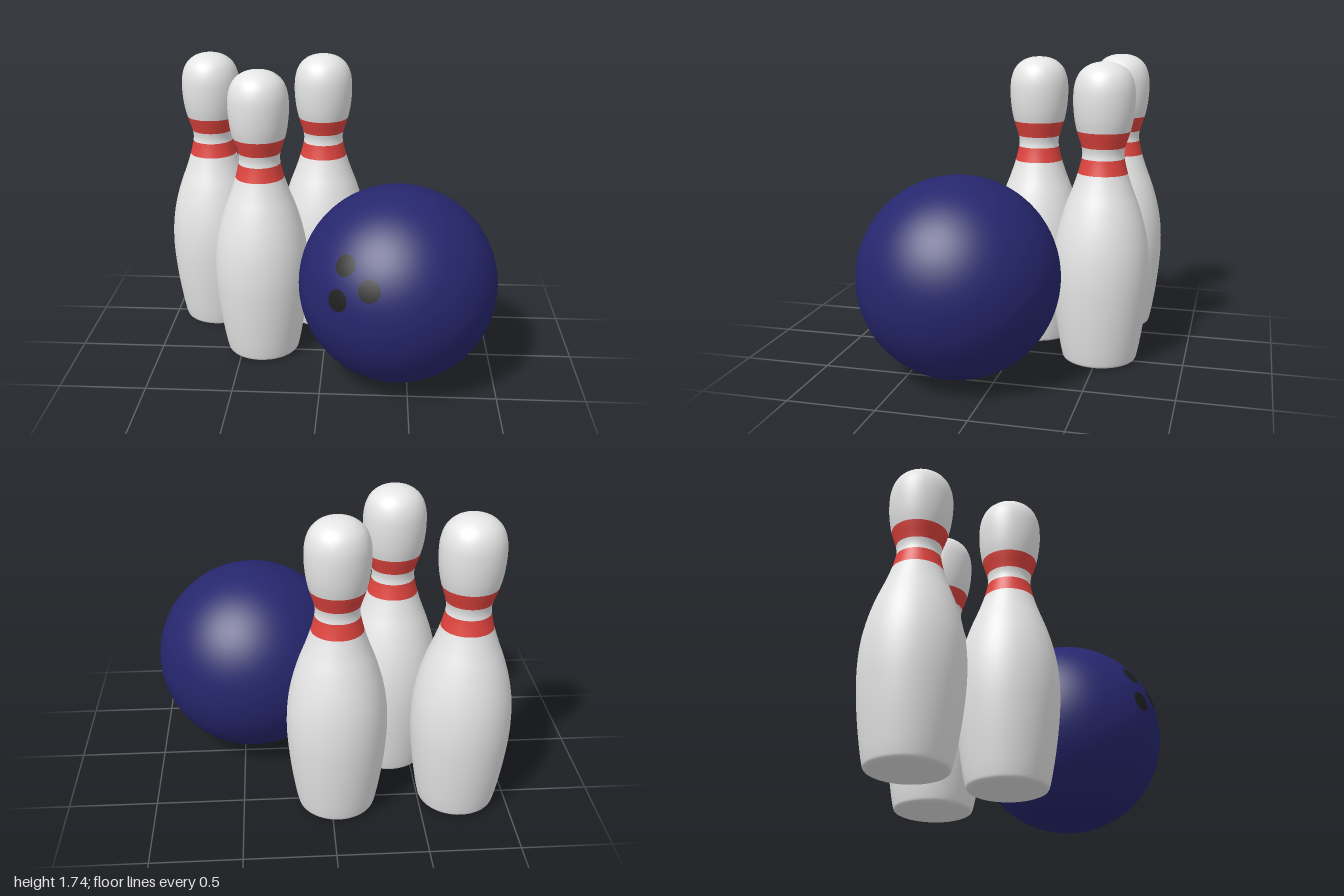
import * as THREE from 'three';

const mat = (name, color) => {
  const m = new THREE.MeshStandardMaterial({ color });
  m.name = name;
  return m;
};

// Pin outline [radius, height] from the foot to the crown
const OUTLINE = [
  [0.195, 0], [0.212, 0.009], [0.221, 0.035], [0.25, 0.2], [0.27, 0.37], [0.278, 0.52],
  [0.27, 0.67], [0.246, 0.8], [0.21, 0.92], [0.172, 1.02], [0.142, 1.11],
  [0.122, 1.195], [0.119, 1.225], [0.124, 1.26], [0.152, 1.35], [0.168, 1.43],
  [0.175, 1.53], [0.168, 1.61], [0.143, 1.672], [0.1, 1.712], [0.05, 1.731], [0, 1.736],
];

// Sections between outline points: name, first index, last index, colour
const SECTIONS = [
  ['pinBody', 0, 10, 'white'],
  ['lowerStripe', 10, 11, 'red'],
  ['pinNeck', 11, 13, 'white'],
  ['upperStripe', 13, 14, 'red'],
  ['pinHead', 14, 21, 'white'],
];

export function createModel() {
  const materials = {
    white: mat('pinWhite', 0xe6e6e6),
    red: mat('stripeRed', 0xe0443e),
    blue: mat('ballBlue', 0x26266e),
    black: mat('holeBlack', 0x1e1e1e),
  };
  const model = new THREE.Group();
  model.name = 'bowlingSet';

  // Pin sections are lathed from one smooth curve
  const curve = new THREE.CatmullRomCurve3(OUTLINE.map(([r, y]) => new THREE.Vector3(r, y, 0)));
  const last = OUTLINE.length - 1;
  const STEPS = 5;
  const parts = SECTIONS.map(([name, a, b, color]) => {
    const points = [];
    for (let i = 0; i <= (b - a) * STEPS; i++) {
      const p = curve.getPoint(Math.min(1, (a + i / STEPS) / last));
      points.push(new THREE.Vector2(Math.max(0, p.x), p.y));
    }
    return { name, color, geometry: new THREE.LatheGeometry(points, 56) };
  });
  // Flat underside
  parts.push({
    name: 'pinBase', color: 'white',
    geometry: new THREE.CircleGeometry(OUTLINE[0][0], 56).rotateX(Math.PI / 2),
  });

  // Three pins in a triangle
  [[-0.722, -0.505], [-0.032, -0.505], [-0.377, -0.055]].forEach(([x, z], i) => {
    const pin = new THREE.Group();
    pin.name = 'pin' + (i + 1);
    for (const { name, color, geometry } of parts) {
      const mesh = new THREE.Mesh(geometry, materials[color]);
      mesh.name = name;
      pin.add(mesh);
    }
    pin.position.set(x, 0, z);
    model.add(pin);
  });

  // Ball
  const R = 0.565;
  const ball = new THREE.Group();
  ball.name = 'ball';
  ball.position.set(0.433, 0.577, 0.215);
  const shell = new THREE.Mesh(new THREE.SphereGeometry(R, 96, 64), materials.blue);
  shell.name = 'ballShell';
  ball.add(shell);

  // Finger holes: thin dark caps following the ball's surface
  const cap = new THREE.SphereGeometry(R + 0.002, 32, 6, 0, Math.PI * 2, 0, 0.061 / R);
  const up = new THREE.Vector3(0, 1, 0);
  [[-0.286, 0.279], [-0.158, 0.183], [-0.326, 0.097]].forEach(([x, y], i) => {
    const dir = new THREE.Vector3(x, y, Math.sqrt(R * R - x * x - y * y)).normalize();
    const hole = new THREE.Mesh(cap, materials.black);
    hole.name = 'fingerHole' + (i + 1);
    hole.quaternion.setFromUnitVectors(up, dir);
    ball.add(hole);
  });
  model.add(ball);
  return model;
}
